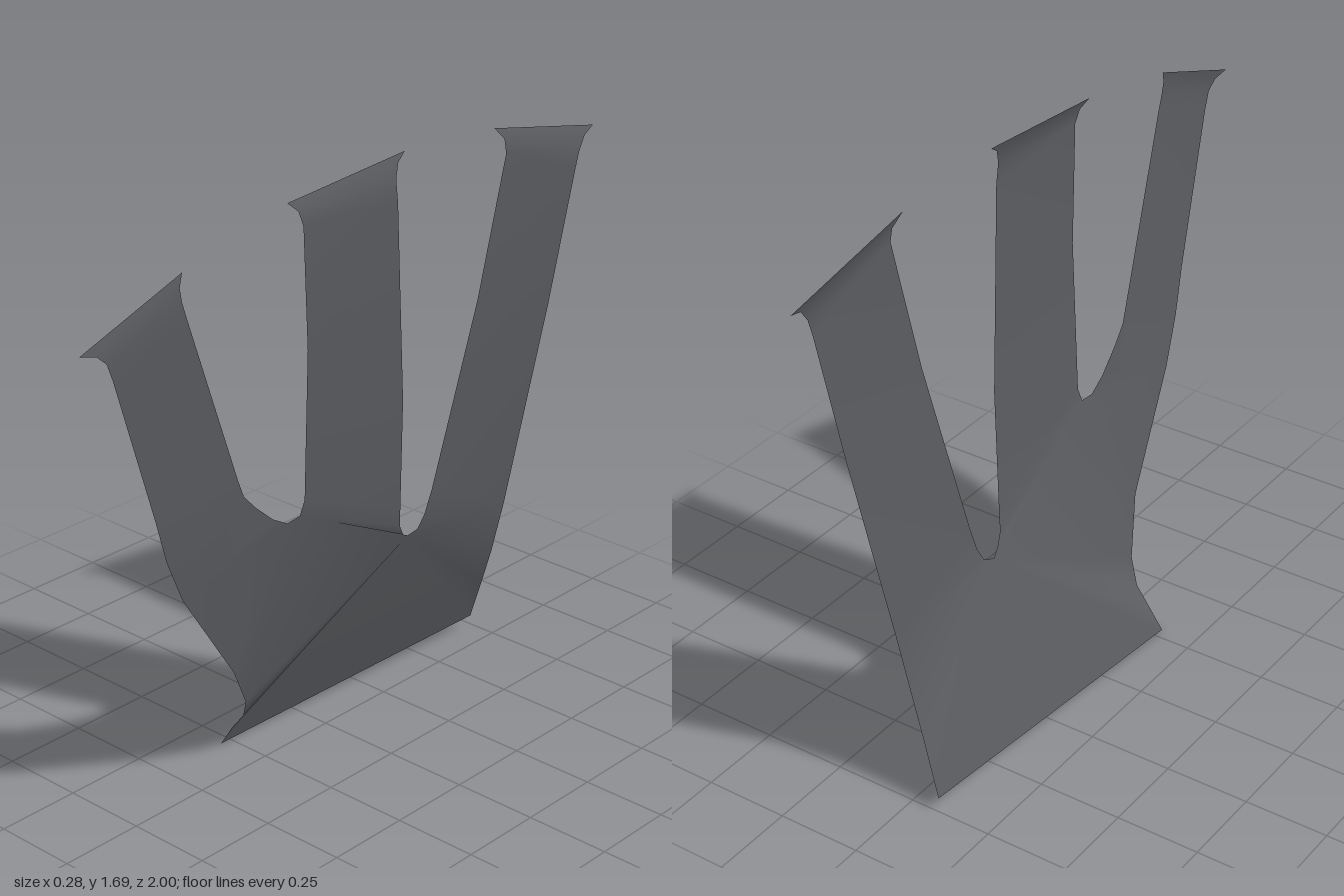
import * as THREE from 'three';
import { mergeVertices } from 'three/addons/utils/BufferGeometryUtils.js';

// Sideways curve of the sheet: [height, x]
const BEND = [[0, -0.14], [0.04, -0.08], [0.07, -0.075], [0.13, -0.045], [0.19, -0.015], [0.31, 0.025],
  [0.35, 0.04], [0.51, 0.055], [0.66, 0.08], [0.8, 0.093], [1.0, 0.11], [1.4, 0.134], [1.5, 0.136], [1.6, 0.132], [1.7, 0.114]];

function bendAt(y) {
  for (let i = 1; i < BEND.length; i++) {
    const [y0, x0] = BEND[i - 1], [y1, x1] = BEND[i];
    if (y <= y1) return x0 + (x1 - x0) * Math.max(0, (y - y0) / (y1 - y0));
  }
  return BEND[BEND.length - 1][1];
}

// Outline points are [z, y] with an optional x that overrides the bend
const edge = (...pts) => pts.map(([z, y, x]) => new THREE.Vector3(x ?? bendAt(y), y, z));

// Fill the sheet between two edges, always taking the shorter diagonal
function zip(a, b, out) {
  let i = 0, j = 0;
  const add = (p, q, r) => {
    if (p.equals(q) || q.equals(r) || p.equals(r)) return;
    for (const v of [p, q, r]) out.push(v.x, v.y, v.z);
  };
  while (i < a.length - 1 || j < b.length - 1) {
    const stepA = j === b.length - 1 ||
      (i < a.length - 1 && a[i + 1].distanceTo(b[j]) < a[i].distanceTo(b[j + 1]));
    if (stepA) { add(a[i], b[j], a[i + 1]); i++; }
    else { add(a[i], b[j], b[j + 1]); j++; }
  }
}

export function createModel() {
  const group = new THREE.Group();
  group.name = 'threeFingeredPanel';

  // Corners shared by neighbouring pieces
  const heel = [0.285, 0.005, -0.14];
  const wrist = [0.313, 0.2, -0.012];
  const frontGap = [0.25, 0.757, 0.09];
  const backGap = [-0.29, 0.516, 0.05];
  const positions = [];

  // Front finger, from the wrist to its flared tip
  zip(
    edge(wrist, [0.41, 0.35], [0.634, 0.666], [0.7, 0.805], [0.746, 0.94], [0.9, 1.38],
      [0.92, 1.43], [0.95, 1.457, 0.133], [1.0, 1.47, 0.127]),
    edge(wrist, frontGap, [0.307, 0.79], [0.38, 0.853], [0.425, 0.9], [0.45, 0.955],
      [0.65, 1.47], [0.665, 1.516], [0.67, 1.555, 0.133], [0.655, 1.59, 0.127]),
    positions);

  // Middle finger with the front half of the palm
  zip(
    edge(heel, [0.28, 0.07, -0.1], [0.285, 0.13, -0.05], wrist, frontGap, [0.2, 0.762], [0.185, 0.805],
      [0.205, 1.25], [0.227, 1.6], [0.238, 1.64], [0.265, 1.666, 0.112]),
    edge(backGap, [-0.26, 0.532], [-0.238, 0.57], [-0.227, 0.634], [-0.195, 0.98],
      [-0.136, 1.57], [-0.136, 1.634], [-0.152, 1.676], [-0.185, 1.698, 0.112]),
    positions);

  // Back finger with the back half of the palm
  zip(
    edge(heel, backGap, [-0.323, 0.527], [-0.345, 0.57], [-0.36, 0.644], [-0.49, 1.195],
      [-0.586, 1.6], [-0.586, 1.64], [-0.553, 1.676, 0.115]),
    edge([-0.74, 0.04], [-0.714, 0.18], [-0.703, 0.313], [-0.71, 0.484, 0.063], [-0.82, 1.09],
      [-0.896, 1.48], [-0.912, 1.53], [-0.944, 1.57, 0.128], [-0.995, 1.586, 0.117]),
    positions);

  let geometry = new THREE.BufferGeometry();
  geometry.setAttribute('position', new THREE.Float32BufferAttribute(positions, 3));
  geometry = mergeVertices(geometry);
  geometry.computeVertexNormals();

  const material = new THREE.MeshStandardMaterial({ color: 0x5a5c60, side: THREE.DoubleSide });
  const panel = new THREE.Mesh(geometry, material);
  panel.name = 'curvedPanel';
  group.add(panel);
  return group;
}
